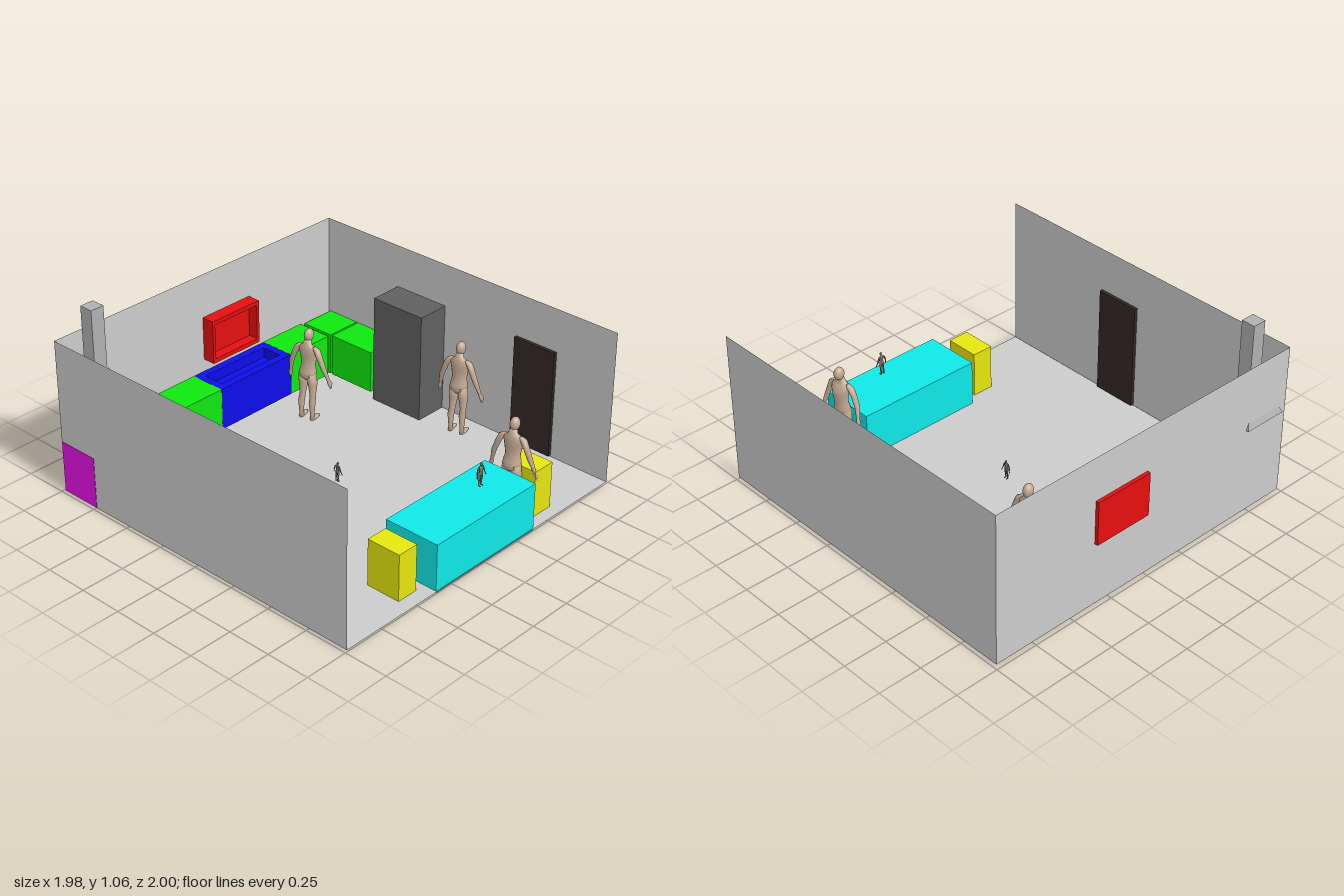
import * as THREE from 'three';

const mat = (color, opts = {}) => new THREE.MeshStandardMaterial({ color, ...opts });

function add(parent, name, geometry, material) {
  const mesh = new THREE.Mesh(geometry, material);
  mesh.name = name;
  parent.add(mesh);
  return mesh;
}

// Box given by its extents on each axis
function block(parent, name, [x0, x1], [y0, y1], [z0, z1], material) {
  const mesh = add(parent, name, new THREE.BoxGeometry(x1 - x0, y1 - y0, z1 - z0), material);
  mesh.position.set((x0 + x1) / 2, (y0 + y1) / 2, (z0 + z1) / 2);
  return mesh;
}

// Rectangular frame lying in XY, extruded along +z
function frameGeometry(w, h, borderX, borderY, depth) {
  const rect = (target, a, b) => {
    target.moveTo(-a, -b);
    target.lineTo(a, -b);
    target.lineTo(a, b);
    target.lineTo(-a, b);
    target.closePath();
    return target;
  };
  const shape = rect(new THREE.Shape(), w / 2, h / 2);
  shape.holes.push(rect(new THREE.Path(), w / 2 - borderX, h / 2 - borderY));
  return new THREE.ExtrudeGeometry(shape, { depth, bevelEnabled: false });
}

// Smooth closed body through horizontal elliptical rings [x, y, z, rx, rz], listed upwards
function loft(rings, sides = 16) {
  const position = [], index = [];
  for (const [x, y, z, rx, rz] of rings) {
    for (let i = 0; i < sides; i++) {
      const a = (i / sides) * Math.PI * 2;
      position.push(x + rx * Math.sin(a), y, z + rz * Math.cos(a));
    }
  }
  for (let r = 0; r < rings.length - 1; r++) {
    for (let i = 0; i < sides; i++) {
      const a = r * sides + i, b = r * sides + (i + 1) % sides;
      index.push(a, b, b + sides, a, b + sides, a + sides);
    }
  }
  const last = (rings.length - 1) * sides;
  for (let i = 1; i < sides - 1; i++) {
    index.push(0, i + 1, i, last, last + i, last + i + 1);
  }
  const geometry = new THREE.BufferGeometry();
  geometry.setAttribute('position', new THREE.Float32BufferAttribute(position, 3));
  geometry.setIndex(index);
  geometry.computeVertexNormals();
  return geometry;
}

// Standing figure of height 1 facing +z, scaled and placed
function figure(parent, name, height, [x, y, z], turn, material) {
  const body = new THREE.Group();
  body.name = name;
  add(body, 'torso', loft([
    [0, 0.46, -0.01, 0.05, 0.045], [0, 0.5, -0.01, 0.092, 0.075], [0, 0.55, -0.005, 0.09, 0.07],
    [0, 0.62, 0.005, 0.075, 0.058], [0, 0.7, 0.008, 0.088, 0.066], [0, 0.76, 0.005, 0.098, 0.068],
    [0, 0.81, -0.008, 0.1, 0.05], [0, 0.84, -0.012, 0.05, 0.035], [0, 0.9, 0, 0.03, 0.032],
  ]), material);
  const head = add(body, 'head', new THREE.SphereGeometry(1, 18, 14), material);
  head.scale.set(0.047, 0.068, 0.058);
  head.position.set(0, 0.932, 0.015);
  for (const s of [-1, 1]) {
    add(body, 'leg', loft([
      [s * 0.065, 0.01, -0.03, 0.022, 0.028], [s * 0.065, 0.07, -0.03, 0.021, 0.024],
      [s * 0.064, 0.2, -0.03, 0.033, 0.037], [s * 0.06, 0.28, -0.01, 0.03, 0.034],
      [s * 0.055, 0.4, -0.005, 0.046, 0.052], [s * 0.048, 0.52, -0.01, 0.045, 0.06],
    ]), material);
    const foot = add(body, 'foot', new THREE.SphereGeometry(1, 14, 10), material);
    foot.scale.set(0.028, 0.022, 0.07);
    foot.position.set(s * 0.07, 0.022, 0.015);
    add(body, 'arm', loft([
      [s * 0.24, 0.39, 0.04, 0.01, 0.012], [s * 0.236, 0.44, 0.035, 0.019, 0.03],
      [s * 0.222, 0.49, 0.02, 0.015, 0.019], [s * 0.19, 0.61, -0.01, 0.026, 0.028],
      [s * 0.145, 0.73, -0.015, 0.03, 0.034], [s * 0.11, 0.8, -0.01, 0.035, 0.036],
      [s * 0.085, 0.825, -0.01, 0.02, 0.02],
    ]), material);
  }
  body.scale.setScalar(height);
  body.position.set(x, y, z);
  body.rotation.y = turn;
  parent.add(body);
}

export function createModel() {
  const model = new THREE.Group();
  model.name = 'kitchen';

  const wallMat = mat(0xcccccc, { side: THREE.DoubleSide });
  const green = mat(0x0fe80f), blue = mat(0x0e0eea), red = mat(0xe60f0f);
  const magenta = mat(0xe80fe8), cyan = mat(0x0fe8e8), yellow = mat(0xe6e60f);
  const doorMat = mat(0x352727), dark = mat(0x606060), hoodMat = mat(0xb0b0b0);
  const skin = mat(0xc4aa94);

  // Room shell, open at the front and top
  const plane = (name, w, h, pos, rx, ry) => {
    const mesh = add(model, name, new THREE.PlaneGeometry(w, h), wallMat);
    mesh.position.set(...pos);
    mesh.rotation.set(rx, ry, 0);
  };
  plane('floor', 1.975, 1.98, [-0.002, 0.01, 0.01], -Math.PI / 2, 0);
  plane('backWall', 1.975, 0.875, [-0.002, 0.4475, -0.98], 0, 0);
  plane('rightWall', 1.98, 0.875, [-0.99, 0.4475, 0.01], 0, Math.PI / 2);
  plane('leftWall', 1.98, 0.875, [0.985, 0.4475, 0.01], 0, -Math.PI / 2);

  // Doors on the side walls
  block(model, 'rightDoor', [-0.985, -0.965], [0.02, 0.64], [0.05, 0.31], doorMat);
  block(model, 'leftDoor', [0.964, 0.983], [0.02, 0.64], [0.37, 0.635], doorMat);

  // Stove and cabinets along the back wall, then round the corner
  block(model, 'stove', [-0.992, -0.67], [0.012, 0.305], [-0.977, -0.735], magenta);
  for (const [x0, x1] of [[-0.669, -0.375], [-0.367, -0.071], [0.456, 0.75]]) {
    block(model, 'backCabinet', [x0, x1], [0.065, 0.31], [-0.977, -0.765], green);
  }
  for (const [z0, z1] of [[-0.965, -0.765], [-0.755, -0.46]]) {
    block(model, 'sideCabinet', [0.77, 0.983], [0.065, 0.31], [z0, z1], green);
  }
  block(model, 'refrigerator', [0.79, 0.983], [0.012, 0.64], [-0.459, -0.12], dark);

  // Sink unit with a sunken basin
  block(model, 'sinkCabinet', [-0.07, 0.455], [0.065, 0.25], [-0.977, -0.765], blue);
  const sink = add(model, 'sinkRim', frameGeometry(0.525, 0.212, 0.043, 0.045, 0.06), blue);
  sink.rotation.x = -Math.PI / 2;
  sink.position.set(0.1925, 0.25, -0.871);

  // Window box through the back wall
  block(model, 'windowPane', [0.01, 0.355], [0.38, 0.632], [-1, -0.965], red);
  const frame = add(model, 'windowFrame', frameGeometry(0.345, 0.252, 0.018, 0.024, 0.06), red);
  frame.position.set(0.1825, 0.506, -0.965);

  // Extractor hood: square funnel and flue
  const funnel = new THREE.CylinderGeometry(0.04 * Math.SQRT2, 0.128 * Math.SQRT2, 0.2, 4, 1);
  funnel.rotateY(Math.PI / 4);
  const hood = add(model, 'hoodFunnel', funnel.toNonIndexed(), hoodMat);
  hood.geometry.computeVertexNormals();
  hood.position.set(-0.828, 0.62, -0.868);
  block(model, 'hoodFlue', [-0.868, -0.788], [0.72, 1.06], [-0.908, -0.828], hoodMat);

  // Table and seats
  block(model, 'table', [-0.36, 0.383], [0, 0.275], [0.67, 0.995], cyan);
  block(model, 'rightSeat', [-0.545, -0.42], [0, 0.275], [0.72, 0.92], yellow);
  block(model, 'leftSeat', [0.465, 0.6], [0, 0.275], [0.725, 0.93], yellow);

  // Standing figures and two miniature ones
  for (const [x, z] of [[0.41, -0.59], [0.855, 0.1], [0.44, 0.8]]) {
    figure(model, 'person', 0.545, [x, 0.005, z], 1.74, skin);
  }
  figure(model, 'tableFigurine', 0.135, [0.115, 0.328, 0.86], 0, mat(0x7a6e64));
  figure(model, 'floorFigurine', 0.115, [0, 0.04, 0.012], Math.PI / 2, mat(0x606060));

  return model;
}
